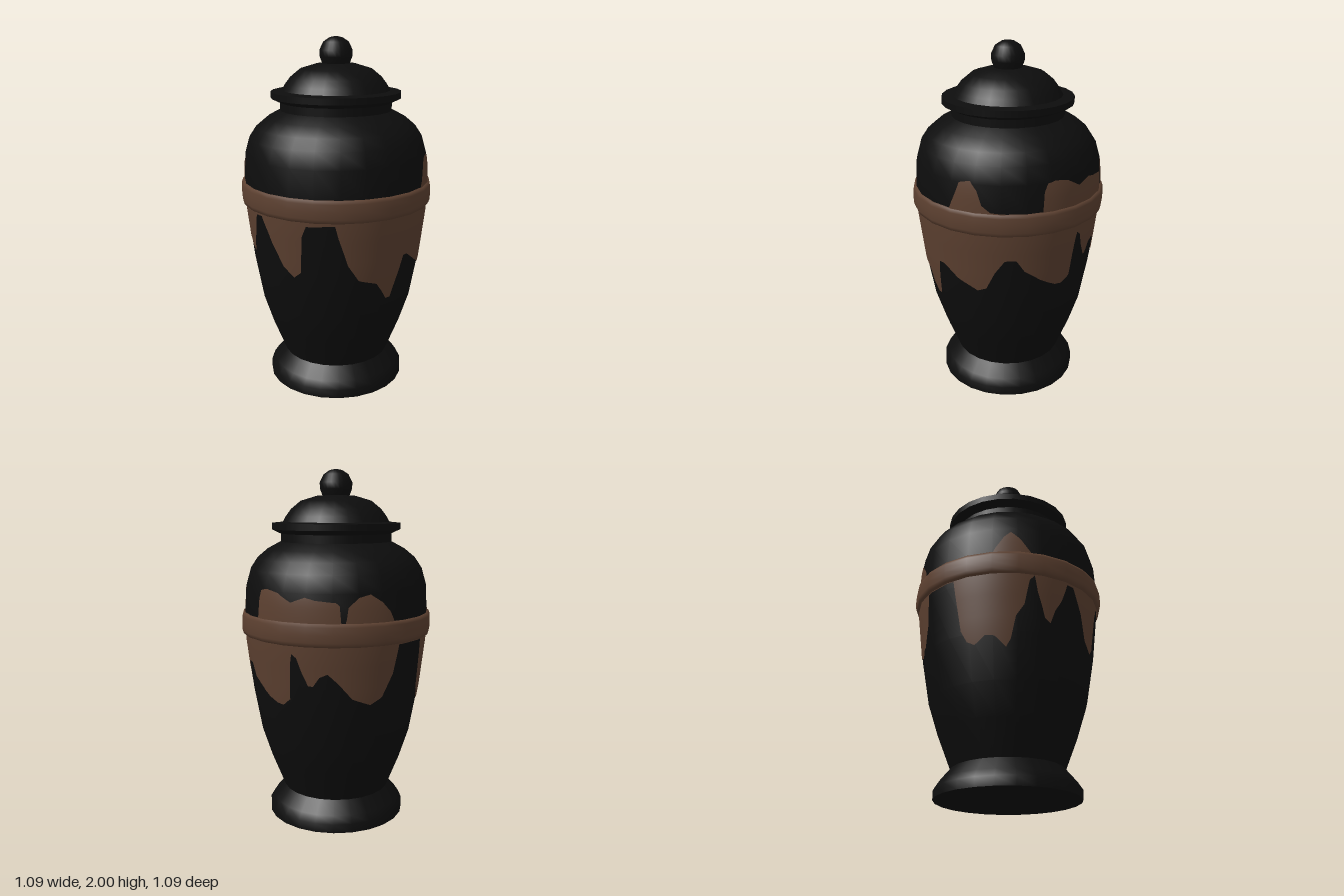
import * as THREE from 'three';

const SIDES = 24;
const black = new THREE.MeshStandardMaterial({ color: 0x0d0d0d });
black.name = 'black glaze';
const brown = new THREE.MeshStandardMaterial({ color: 0x5c4030, side: THREE.DoubleSide });
brown.name = 'brown drip glaze';

// Body profile as [radius, height]
const BODY = [
  [0.31, 0.16], [0.385, 0.35], [0.44, 0.52], [0.485, 0.77], [0.518, 1.05], [0.525, 1.2],
  [0.516, 1.36], [0.49, 1.45], [0.45, 1.51], [0.39, 1.56], [0.315, 1.6],
];

// Drip edges as [angle from the front towards +x in degrees, height]
const LOWER = [
  [0, 0.85], [4, 0.85], [17, 0.78], [29, 0.735], [35, 0.755], [41, 0.86], [47, 0.935], [54, 0.935],
  [59, 0.87], [70, 0.8], [81, 0.75], [86, 0.745], [92, 0.785], [93.5, 0.97], [95, 1.04], [98, 1.02],
  [101, 0.945], [105, 0.87], [108, 0.87], [112, 0.92], [117, 0.94], [123, 0.89], [132, 0.8],
  [144, 0.76], [152, 0.8], [159, 0.92], [162, 1.08], [185, 1.08], [187, 0.93], [189, 0.79],
  [193, 0.726], [198, 0.705], [205, 0.75], [211, 0.743], [218, 0.684], [221, 0.727], [224, 0.848],
  [229, 0.913], [232, 1.05], [235, 1.08], [237, 0.99], [242, 0.852], [246, 0.83], [249, 0.906],
  [253, 0.963], [257, 1.07], [262, 1.07], [268, 0.97], [277, 0.81], [285, 0.755], [290, 0.79],
  [292, 1.0], [295, 1.06], [312, 1.07], [314, 1.0], [320, 0.84], [327, 0.75], [340, 0.715],
  [349, 0.61], [353, 0.61], [356, 0.71], [360, 0.85],
];
const UPPER = [
  [0, 1.2], [13, 1.2], [18, 1.31], [20, 1.36], [27, 1.375], [31, 1.33], [34, 1.25], [39, 1.215],
  [69, 1.2], [70, 1.315], [72, 1.36], [77, 1.37], [86, 1.355], [95, 1.31], [104, 1.34], [110, 1.325],
  [122, 1.315], [124, 1.3], [124.8, 1.2], [127.5, 1.2], [129, 1.29], [135, 1.34], [142, 1.355],
  [149, 1.315], [155, 1.26], [158, 1.2], [210, 1.2], [212, 1.24], [217, 1.31], [221, 1.34],
  [227, 1.29], [234, 1.2], [360, 1.2],
];

// Linear interpolation in a list of [key, value] pairs
function lookup(list, key) {
  for (let i = 1; i < list.length; i++) {
    const [k0, v0] = list[i - 1], [k1, v1] = list[i];
    if (key <= k1) return v0 + (v1 - v0) * (key - k0) / (k1 - k0);
  }
  return list[list.length - 1][1];
}
const bodyByHeight = BODY.map(([r, y]) => [y, r]);
const bodyRadius = (y) => lookup(bodyByHeight, y);

function turned(name, profile, material = black) {
  const points = profile.map(([r, y]) => new THREE.Vector2(r, y));
  const mesh = new THREE.Mesh(new THREE.LatheGeometry(points, SIDES), material);
  mesh.name = name;
  return mesh;
}

// Thin skin that hugs the body between the lower and upper drip edges
function dripSkin() {
  const columns = 360, rows = 28;
  const points = Array.from({ length: rows + 1 }, (_, j) => new THREE.Vector2(0.5, j / rows));
  const geometry = new THREE.LatheGeometry(points, columns);
  const position = geometry.attributes.position, normal = geometry.attributes.normal;
  const n = new THREE.Vector3();
  const half = Math.PI / SIDES;
  for (let i = 0; i <= columns; i++) {
    const degrees = i * 360 / columns, a = THREE.MathUtils.degToRad(degrees);
    const low = lookup(LOWER, degrees), high = lookup(UPPER, degrees);
    const facet = Math.cos(half) / Math.cos((a % (2 * half)) - half);
    for (let j = 0; j <= rows; j++) {
      const index = i * (rows + 1) + j;
      const y = low + (high - low) * j / rows;
      const r = (bodyRadius(y) + 0.004) * facet;
      position.setXYZ(index, r * Math.sin(a), y, r * Math.cos(a));
      const slope = (bodyRadius(y - 0.08) - bodyRadius(y + 0.08)) / 0.16;
      n.set(Math.sin(a), slope, Math.cos(a)).normalize();
      normal.setXYZ(index, n.x, n.y, n.z);
    }
  }
  const mesh = new THREE.Mesh(geometry, brown);
  mesh.name = 'dripGlaze';
  return mesh;
}

export function createModel() {
  const urn = new THREE.Group();
  urn.name = 'lidded urn';
  urn.add(
    // Foot and body
    turned('footBase', [[0, 0], [0.397, 0]]),
    turned('foot', [[0.397, 0], [0.397, 0.05], [0.37, 0.09], [0.31, 0.16]]),
    turned('body', BODY),
    turned('neck', [[0.315, 1.6], [0.315, 1.645]]),
    // Brown band and drips
    turned('band', [[0.515, 1.08], [0.536, 1.088], [0.543, 1.11], [0.544, 1.15], [0.542, 1.19],
      [0.536, 1.207], [0.515, 1.21]], brown),
    dripSkin(),
    // Lid
    turned('lidUnderside', [[0.31, 1.642], [0.365, 1.668]]),
    turned('lidRim', [[0.365, 1.668], [0.365, 1.703]]),
    turned('lidLedge', [[0.365, 1.703], [0.295, 1.71]]),
    turned('lidDome', [[0.305, 1.705], [0.285, 1.74], [0.255, 1.78], [0.2, 1.825], [0.11, 1.852], [0, 1.86]]),
    turned('knob', [[0.075, 1.85], [0.09, 1.89], [0.092, 1.925], [0.07, 1.97], [0.035, 1.993], [0, 2]]),
  );
  return urn;
}
